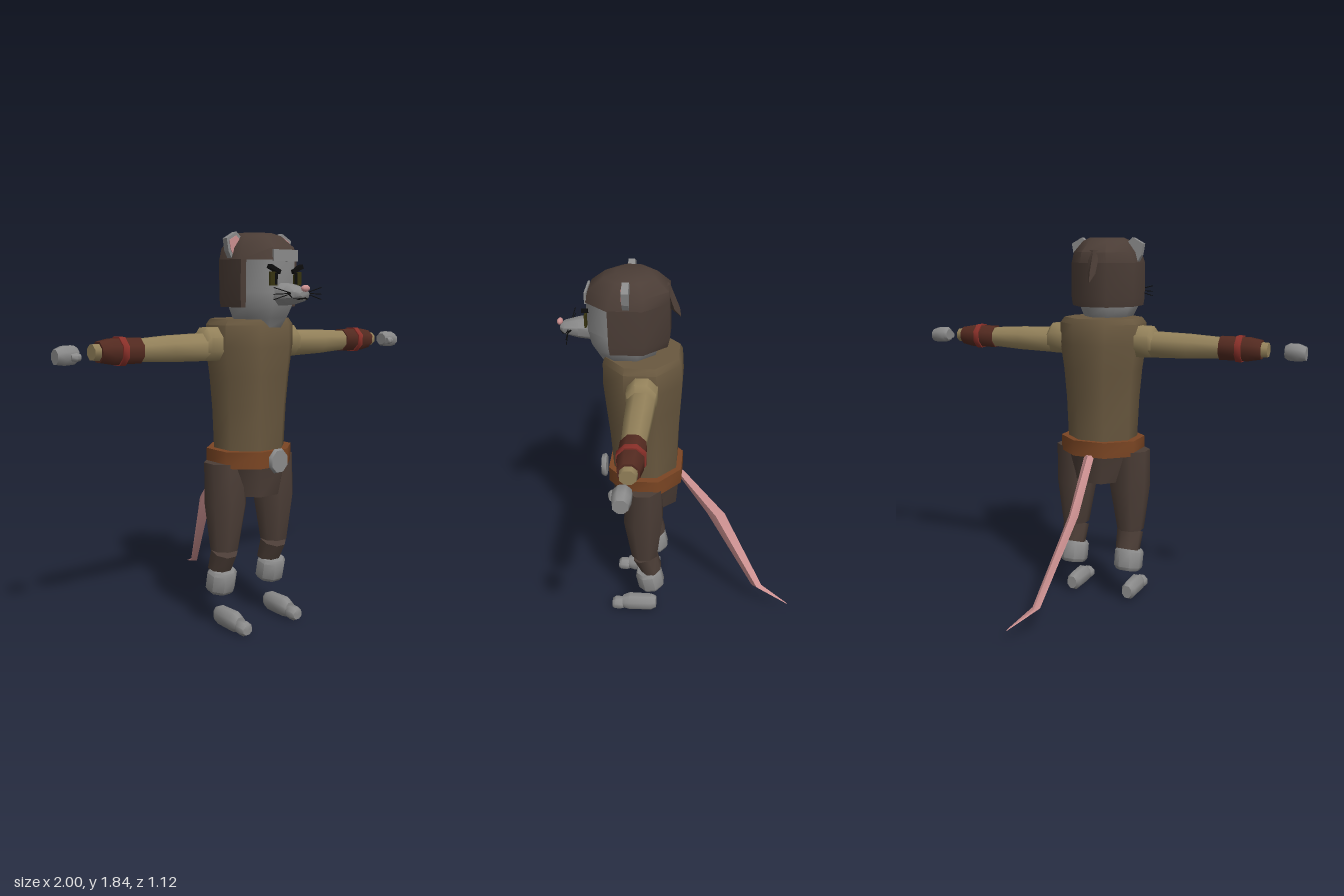
import * as THREE from 'three';
import { toCreasedNormals } from 'three/addons/utils/BufferGeometryUtils.js';

const mat = (name, color) => {
  const m = new THREE.MeshStandardMaterial({ color });
  m.name = name;
  return m;
};

const ring = (n, offset) => Array.from({ length: n }, (_, k) => {
  const a = (k + offset) * 2 * Math.PI / n;
  const r = 1 / Math.cos(offset * 2 * Math.PI / n);
  return [Math.sin(a) * r, Math.cos(a) * r];
});
const OCTAGON = ring(8, 0.5);
const DIAMOND = ring(4, 0);
const OPEN_FRONT = OCTAGON.filter(([, z]) => z < 0.9); // octagon cut off behind the face

// Closed loft along y through rings [y, rx, rz, cx, cz], lowest first
function loft(rings, outline = OCTAGON) {
  const pos = [], n = outline.length;
  const pt = ([y, rx, rz, cx = 0, cz = 0], k) =>
    [cx + outline[k % n][0] * rx, y, cz + outline[k % n][1] * rz];
  const mid = ([y, , , cx = 0, cz = 0]) => [cx, y, cz];
  const first = rings[0], last = rings[rings.length - 1];
  for (let k = 0; k < n; k++) {
    for (let i = 0; i < rings.length - 1; i++) {
      const a = pt(rings[i], k), b = pt(rings[i], k + 1);
      const c = pt(rings[i + 1], k + 1), d = pt(rings[i + 1], k);
      pos.push(...a, ...b, ...c, ...a, ...c, ...d);
    }
    pos.push(...mid(last), ...pt(last, k), ...pt(last, k + 1));
    pos.push(...mid(first), ...pt(first, k + 1), ...pt(first, k));
  }
  const g = new THREE.BufferGeometry();
  g.setAttribute('position', new THREE.Float32BufferAttribute(pos, 3));
  return toCreasedNormals(g, 0.9);
}

export function createModel() {
  const fur = mat('grey fur', 0x8a8a8a);
  const pink = mat('pink skin', 0xcb9090);
  const dark = mat('dark brown cloth', 0x4b3d36);
  const tunic = mat('olive brown tunic', 0x69583f);
  const sleeveMat = mat('khaki sleeve', 0x93815a);
  const leather = mat('dark red leather', 0x532a20);
  const red = mat('red band', 0x8a3029);
  const beltMat = mat('orange brown belt', 0x7a4523);
  const eyeMat = mat('dark olive eye', 0x37330f);
  const black = mat('black', 0x0c0c0c);

  const model = new THREE.Group();
  const add = (name, geo, m, parent = model) => {
    const mesh = new THREE.Mesh(geo, m);
    mesh.name = name;
    parent.add(mesh);
    return mesh;
  };
  const tube = (name, pts, r) => add(name, new THREE.TubeGeometry(
    new THREE.CatmullRomCurve3(pts.map(p => new THREE.Vector3(...p))), 6, r, 4), black);

  // Body
  const C = 0.176;
  add('torso', loft([
    [0.84, 0.162, 0.15, 0, C], [1.05, 0.17, 0.16, 0, C], [1.2, 0.182, 0.172, 0, C],
    [1.33, 0.2, 0.181, 0, C], [1.43, 0.2, 0.177, 0, C], [1.457, 0.18, 0.165, 0, C]]), tunic);
  add('belt', loft([[0.78, 0.198, 0.176, 0, C], [0.858, 0.198, 0.176, 0, C]]), beltMat);
  add('pelvis', loft([[0.64, 0.13, 0.148, 0, C], [0.78, 0.165, 0.162, 0, C]]), dark);
  add('buckle', loft([[0.372, 0.046, 0.05, 0, -0.815], [0.38, 0.052, 0.056, 0, -0.815],
    [0.396, 0.046, 0.05, 0, -0.815]]), fur).rotation.x = Math.PI / 2;
  add('tail', loft([
    [0.07, 0.003, 0.003, 0.16, -0.56], [0.13, 0.02, 0.026, 0.09, -0.4],
    [0.53, 0.025, 0.045, 0, -0.175], [0.79, 0.026, 0.022, 0, 0.01]], DIAMOND), pink);

  // Head and hood
  add('head', loft([
    [1.42, 0.08, 0.105, 0, 0.25], [1.463, 0.115, 0.13, 0, 0.245], [1.51, 0.134, 0.15, 0, 0.25],
    [1.575, 0.136, 0.166, 0, 0.25], [1.72, 0.134, 0.166, 0, 0.25]]), fur);
  add('hoodSides', loft([[1.51, 0.16, 0.175, 0, 0.235], [1.55, 0.165, 0.185, 0, 0.235],
    [1.72, 0.165, 0.185, 0, 0.235]], OPEN_FRONT), dark);
  add('hoodTop', loft([[1.717, 0.165, 0.185, 0, 0.235], [1.77, 0.15, 0.176, 0, 0.228],
    [1.822, 0.11, 0.115, 0, 0.222], [1.838, 0.08, 0.07, 0, 0.215]]), dark);
  add('forehead', new THREE.BoxGeometry(0.14, 0.05, 0.009), fur).position.set(0, 1.735, 0.417);
  add('hoodTip', loft([[1.63, 0.002, 0.002, 0, 0.005], [1.67, 0.02, 0.024, 0, 0.032],
    [1.78, 0.03, 0.015, 0, 0.065]], DIAMOND), dark);

  // Snout
  add('snout', loft([
    [0.38, 0.06, 0.052, 0, -1.568], [0.46, 0.056, 0.043, 0, -1.567],
    [0.525, 0.042, 0.028, 0, -1.566], [0.545, 0.025, 0.014, 0, -1.568]]), fur).rotation.x = Math.PI / 2;
  const nose = add('nose', new THREE.SphereGeometry(1, 8, 6), pink);
  nose.scale.set(0.025, 0.015, 0.014);
  nose.position.set(0, 1.593, 0.548);
  tube('mouth', [[-0.052, 1.575, 0.49], [-0.036, 1.548, 0.52], [0, 1.552, 0.547],
    [0.036, 1.548, 0.52], [0.052, 1.575, 0.49]], 0.004);

  for (const s of [1, -1]) {
    const side = s > 0 ? 'left' : 'right';

    // Face details
    add(side + 'Eye', new THREE.BoxGeometry(0.042, 0.06, 0.009), eyeMat).position.set(s * 0.07, 1.635, 0.419);
    add(side + 'Pupil', new THREE.BoxGeometry(0.014, 0.05, 0.004), black).position.set(s * 0.058, 1.635, 0.424);
    const brow = add(side + 'Brow', new THREE.BoxGeometry(0.062, 0.018, 0.025), black);
    brow.position.set(s * 0.066, 1.676, 0.419);
    brow.rotation.z = s * 0.42;
    for (const end of [1.597, 1.568, 1.545])
      tube(side + 'Whisker', [[s * 0.04, 1.572, 0.505], [s * 0.14, end, 0.5]], 0.002);

    // Ear with a pink inner plate
    const outline = [[0.19, 1.81], [0.135, 1.84], [0.09, 1.8], [0.12, 1.72], [0.16, 1.72], [0.18, 1.755]];
    const ear = (k, depth) => new THREE.ExtrudeGeometry(new THREE.Shape(outline.map(([x, y]) =>
      new THREE.Vector2(s * (0.145 + (x - 0.145) * k), 1.785 + (y - 1.785) * k))),
    { depth, bevelEnabled: false });
    add(side + 'Ear', ear(1, 0.03), fur).position.z = 0.215;
    add(side + 'InnerEar', ear(0.7, 0.006), pink).position.z = 0.242;

    // Arm, lofted outward from the shoulder
    const arm = new THREE.Group();
    arm.name = side + 'Arm';
    arm.position.set(0, 1.334, 0.165);
    arm.rotation.z = -s * Math.PI / 2;
    model.add(arm);
    const up = -s * 0.012;
    add('shoulder', loft([[0.16, 0.076, 0.07, up], [0.262, 0.074, 0.068, up], [0.285, 0.058, 0.058]]), sleeveMat, arm);
    add('sleeve', loft([[0.24, 0.062, 0.062], [0.45, 0.057, 0.057], [0.6, 0.048, 0.05], [0.83, 0.032, 0.034]]), sleeveMat, arm);
    add('cuff', loft([[0.605, 0.054, 0.054], [0.74, 0.054, 0.054], [0.8, 0.043, 0.045]]), leather, arm);
    add('band', loft([[0.683, 0.06, 0.06], [0.712, 0.06, 0.06]]), red, arm);
    add('hand', loft([
      [0.905, 0.028, 0.03, s * 0.004, 0.01], [0.922, 0.038, 0.037, s * 0.004, 0.01],
      [0.965, 0.039, 0.037, s * 0.006, 0.01], [1.0, 0.03, 0.03, s * 0.01, 0.01]]), fur, arm);
    add('thumb', loft([[0.908, 0.013, 0.013, s * 0.012, 0.048], [0.925, 0.018, 0.017, s * 0.012, 0.048],
      [0.948, 0.013, 0.013, s * 0.012, 0.044]]), fur, arm);

    // Leg
    add(side + 'Leg', loft([
      [0.38, 0.063, 0.063, s * 0.154, 0.182], [0.6, 0.093, 0.094, s * 0.148, 0.183],
      [0.8, 0.094, 0.085, s * 0.148, 0.177]]), dark);
    const shin = add(side + 'Shin', loft([[-0.055, 0.058, 0.048], [0.045, 0.062, 0.06]]), dark);
    shin.position.set(s * 0.153, 0.328, 0.165);
    shin.rotation.x = 0.35;
    const ankle = add(side + 'Ankle', loft([
      [-0.056, 0.056, 0.052], [-0.038, 0.068, 0.064], [0.04, 0.069, 0.063], [0.056, 0.058, 0.054]]), fur);
    ankle.position.set(s * 0.155, 0.222, 0.158);
    ankle.rotation.x = 0.2;

    // Foot and toes, lofted forward
    const foot = new THREE.Group();
    foot.name = side + 'Foot';
    foot.position.x = s * 0.157;
    foot.rotation.x = Math.PI / 2;
    model.add(foot);
    add('sole', loft([[0.13, 0.025, 0.032, 0, -0.047], [0.155, 0.036, 0.044, 0, -0.046],
      [0.27, 0.04, 0.046, 0, -0.046], [0.305, 0.03, 0.034, 0, -0.042]]), fur, foot);
    add('toes', loft([[0.295, 0.028, 0.026, 0, -0.033], [0.315, 0.034, 0.032, 0, -0.033],
      [0.345, 0.034, 0.032, 0, -0.033], [0.36, 0.025, 0.022, 0, -0.031]]), fur, foot);
  }
  return model;
}
